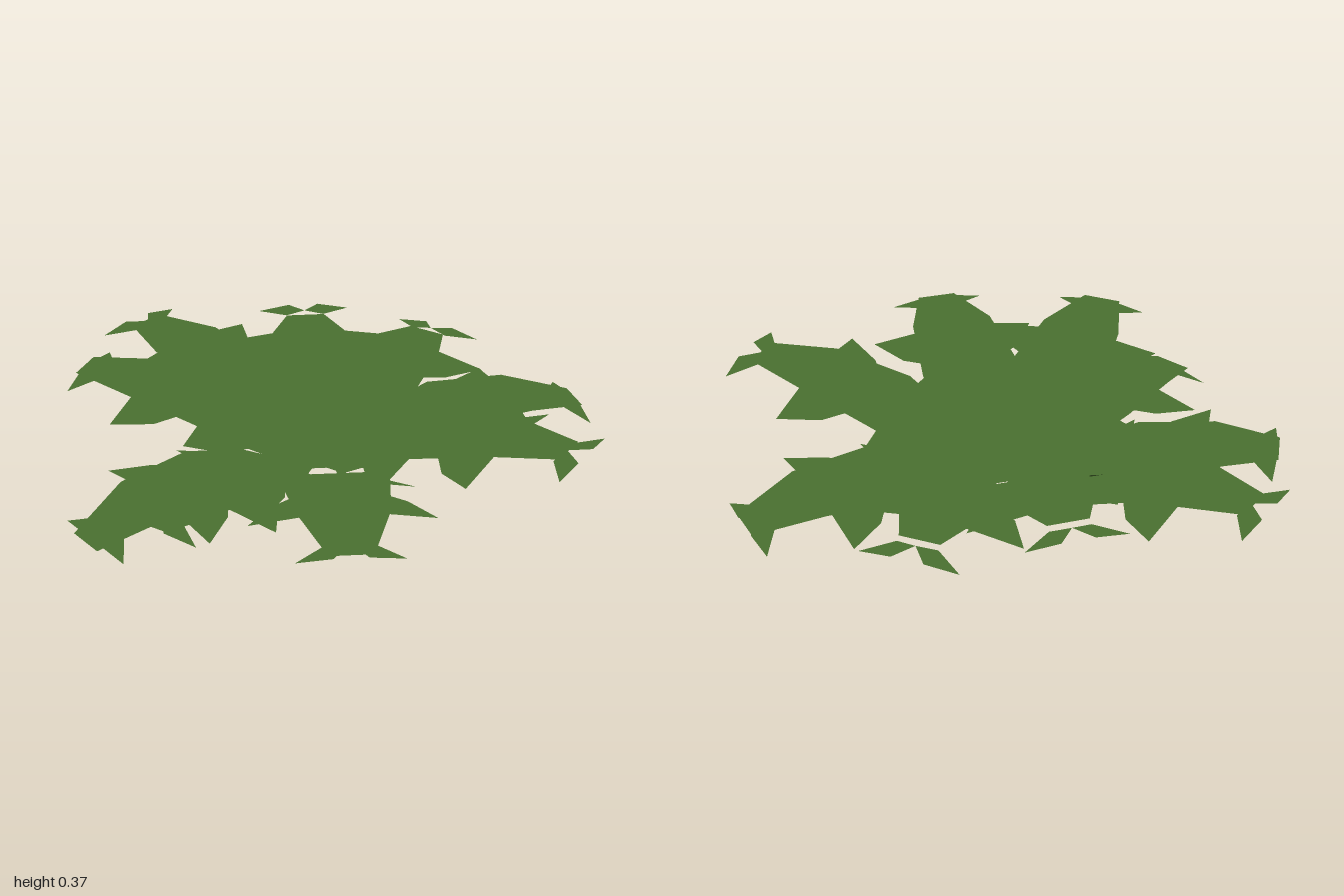
import * as THREE from 'three';

// Centre of the rosette on the ground
const CX = 0.01, CZ = -0.08;

// Blade stations along the length (0..1) and half width at each
const STATIONS = [[0.05, 0.042], [0.17, 0.11], [0.26, 0.145], [0.47, 0.18], [0.76, 0.148], [1, 0.07]];

// dir: ground direction, len: reach, y: height at each station,
// mid and end: distance of the side and tip leaflets
const LEAVES = [
  { name: 'rightLeaf', dir: [1, 0.005], len: 0.93, y: [0, 0.1, 0.16, 0.27, 0.345, 0.365], mid: 0.72, end: 0.93 },
  { name: 'backRightLeaf', dir: [0.66, -0.75], len: 0.955, y: [0, 0.1, 0.15, 0.21, 0.215, 0.165], mid: 0.7, end: 0.895 },
  { name: 'backLeaf', dir: [0.01, -1], len: 0.73, y: [0, 0.09, 0.14, 0.24, 0.28, 0.27], mid: 0.61, end: 0.765 },
  { name: 'backLeftLeaf', dir: [-0.61, -0.79], len: 0.67, y: [0, 0.09, 0.15, 0.25, 0.3, 0.31], mid: 0.57, end: 0.71 },
  { name: 'leftLeaf', dir: [-0.97, -0.215], len: 0.94, y: [0, 0.09, 0.14, 0.23, 0.285, 0.29], mid: 0.73, end: 0.935 },
  { name: 'leftFrontLeaf', dir: [-0.98, 0.2], len: 0.925, y: [0, 0.09, 0.13, 0.21, 0.26, 0.265], mid: 0.68, end: 0.86 },
  { name: 'frontLeftLeaf', dir: [-0.335, 0.94], len: 0.98, y: [0, 0.08, 0.12, 0.165, 0.16, 0.085], mid: 0.7, end: 0.895 },
  { name: 'frontLeaf', dir: [-0.02, 1], len: 0.98, y: [0, 0.09, 0.14, 0.22, 0.27, 0.275], mid: 0.73, end: 0.92 },
  { name: 'frontRightLeaf', dir: [0.6, 0.8], len: 0.98, y: [0, 0.09, 0.14, 0.23, 0.28, 0.27], mid: 0.73, end: 0.925 },
];

// Height of a leaf at distance r, continued past the tip
function heightAt(leaf, r) {
  const t = r / leaf.len;
  let i = 0;
  while (i < STATIONS.length - 2 && t > STATIONS[i + 1][0]) i++;
  const k = (t - STATIONS[i][0]) / (STATIONS[i + 1][0] - STATIONS[i][0]);
  return leaf.y[i] + (leaf.y[i + 1] - leaf.y[i]) * k;
}

// Sheet of quads whose corners are [distance, offset] pairs; sag lowers it outward.
// Every normal points up so the foliage is evenly shaded.
function sheet(leaf, quads, sag) {
  const [dx, dz] = new THREE.Vector2(...leaf.dir).normalize().toArray();
  const pos = [], normals = [];
  for (const q of quads) {
    for (const i of [0, 1, 2, 0, 2, 3]) {
      const [r, p] = q[i];
      const y = Math.max(0, heightAt(leaf, r)) - sag * Math.abs(p);
      pos.push(CX + dx * r - dz * p, y, CZ + dz * r + dx * p);
      normals.push(0, 1, 0);
    }
  }
  const g = new THREE.BufferGeometry();
  g.setAttribute('position', new THREE.Float32BufferAttribute(pos, 3));
  g.setAttribute('normal', new THREE.Float32BufferAttribute(normals, 3));
  return g;
}

function bladeQuads({ len }) {
  const quads = [];
  for (let i = 0; i < STATIONS.length - 1; i++) {
    const [t0, w0] = STATIONS[i], [t1, w1] = STATIONS[i + 1];
    quads.push([[t0 * len, -w0], [t0 * len, w0], [t1 * len, w1], [t1 * len, -w1]]);
  }
  return quads;
}

// Pointed leaflets: an inner pair, a side pair and a pair at the tip
function leafletQuads({ len, mid, end }) {
  const n = 0.45 * len;
  const half = [
    [[n, 0.09], [n - 0.2, 0.09], [n - 0.12, 0.2], [n, 0.27]],
    [[mid, 0.09], [mid - 0.22, 0.09], [mid - 0.13, 0.22], [mid, 0.3]],
    [[end - 0.005, 0], [end - 0.02, 0.07], [end + 0.05, 0.17], [end + 0.06, 0.055]],
  ];
  const mirrored = half.map((q) => q.map(([r, p]) => [r, -p]).reverse());
  return [...half, ...mirrored];
}

export function createModel() {
  const model = new THREE.Group();
  model.name = 'plant';
  const green = new THREE.MeshStandardMaterial({ color: 0x4a7030, side: THREE.DoubleSide });
  green.name = 'leaf green';

  for (const leaf of LEAVES) {
    const group = new THREE.Group();
    group.name = leaf.name;
    const blade = new THREE.Mesh(sheet(leaf, bladeQuads(leaf), 0), green);
    blade.name = 'blade';
    const leaflets = new THREE.Mesh(sheet(leaf, leafletQuads(leaf), 0.14), green);
    leaflets.name = 'leaflets';
    group.add(blade, leaflets);
    model.add(group);
  }
  return model;
}
